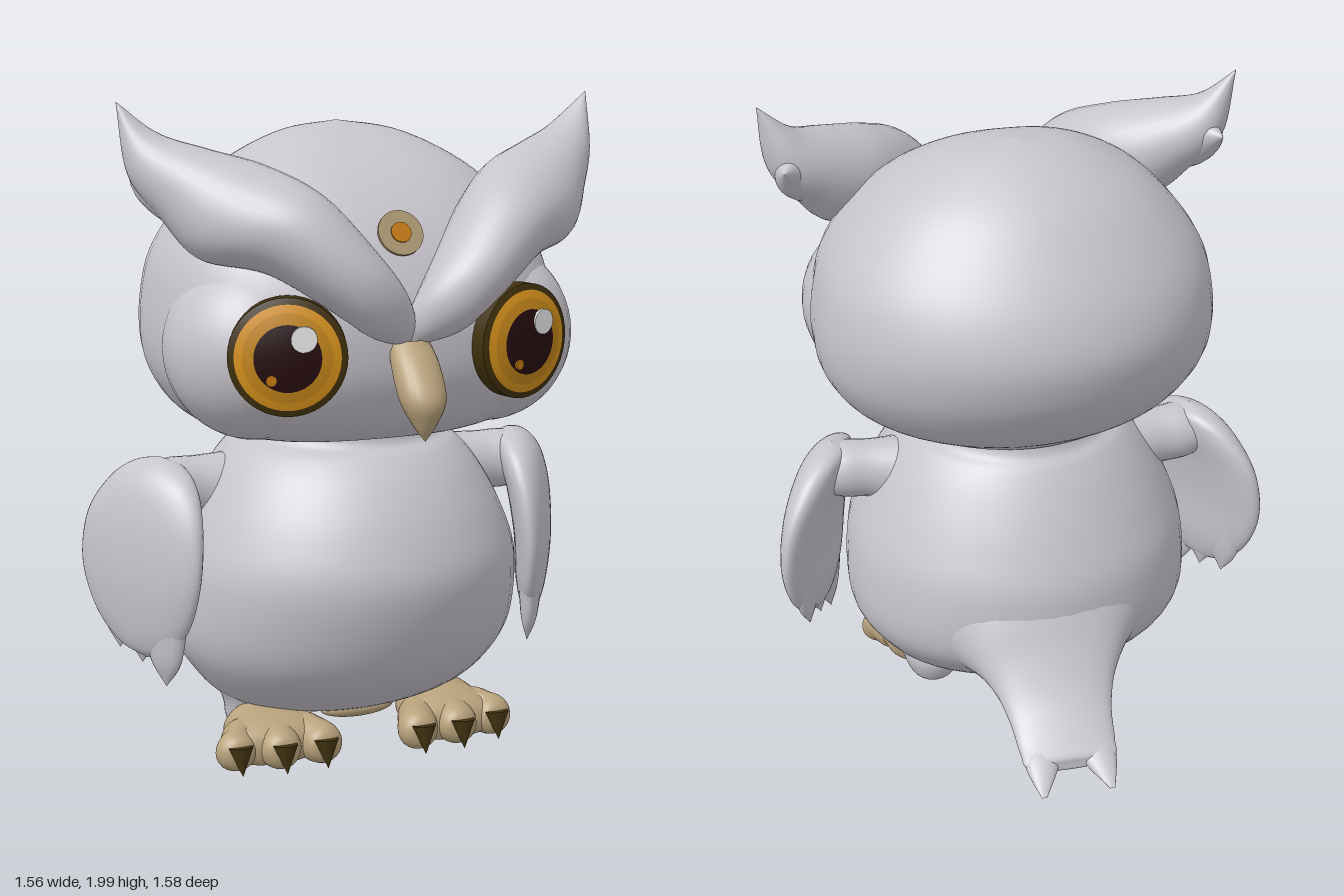
import * as THREE from 'three';

const paint = (name, color) => {
  const m = new THREE.MeshStandardMaterial({ color });
  m.name = name;
  return m;
};
const V = (x, y, z) => new THREE.Vector3(x, y, z);

// Smooth closed skin over elliptical sections [x, y, z, a, b]; a lies along u, b along v,
// and the sections advance along u x v. squareness > 2 flattens the +u side.
function loft(sections, u, v, squareness = 2, rows = sections.length * 5, sides = 48) {
  const path = new THREE.CatmullRomCurve3(sections.map(s => V(s[0], s[1], s[2])), false, 'catmullrom', 0.5);
  const size = new THREE.CatmullRomCurve3(sections.map(s => V(s[3], s[4], 0)), false, 'catmullrom', 0.5);
  const pos = [], index = [];
  for (let i = 0; i <= rows; i++) {
    const c = path.getPoint(i / rows), r = size.getPoint(i / rows);
    for (let j = 0; j < sides; j++) {
      const t = (j / sides) * Math.PI * 2;
      let cu = Math.cos(t), sv = Math.sin(t);
      if (cu > 0 && squareness !== 2) {
        cu = Math.pow(cu, 2 / squareness);
        sv = Math.sign(sv) * Math.pow(Math.abs(sv), 2 / squareness);
      }
      const p = c.clone().addScaledVector(u, cu * Math.max(r.x, 0)).addScaledVector(v, sv * Math.max(r.y, 0));
      pos.push(p.x, p.y, p.z);
      if (i < rows) {
        const k = (j + 1) % sides, a = i * sides, b = a + sides;
        index.push(a + j, a + k, b + k, a + j, b + k, b + j);
      }
    }
  }
  const g = new THREE.BufferGeometry();
  g.setAttribute('position', new THREE.Float32BufferAttribute(pos, 3));
  g.setIndex(index);
  g.computeVertexNormals();
  return g;
}

// Mirror a geometry across x = 0, keeping its faces outward
function mirrored(geo) {
  const g = geo.clone().applyMatrix4(new THREE.Matrix4().makeScale(-1, 1, 1));
  const idx = g.index.array;
  for (let i = 0; i < idx.length; i += 3) [idx[i + 1], idx[i + 2]] = [idx[i + 2], idx[i + 1]];
  g.computeVertexNormals();
  return g;
}

// Ring of a shallow dome facing +z, between two radii
const DOME = 0.03, EYE_RADIUS = 0.166;
const domeHeight = r => DOME * (1 - (r / EYE_RADIUS) ** 2);
function domeRing(outer, inner) {
  const points = [];
  for (let i = 0; i <= 6; i++) {
    const r = outer + (inner - outer) * i / 6;
    points.push(new THREE.Vector2(r, domeHeight(r)));
  }
  return new THREE.LatheGeometry(points, 48).rotateX(Math.PI / 2);
}

export function createModel() {
  const owl = new THREE.Group();
  owl.name = 'owl';
  const grey = paint('grey plumage', 0xc8c4cc);
  const tan = paint('tan horn', 0xb8a27c);
  const claw = paint('dark claw', 0x453612);
  const rim = paint('eye rim', 0x40300c);
  const amber = paint('amber', 0xc4861a);
  const gold = paint('gold iris', 0xd8931c);
  const dark = paint('pupil', 0x260c10);
  const white = paint('highlight', 0xe8e8ea);
  const olive = paint('forehead spot', 0xa89670);
  const orange = paint('orange', 0xc0760e);

  const add = (name, geo, mat, parent = owl) => {
    const m = new THREE.Mesh(geo, mat);
    m.name = name;
    parent.add(m);
  };
  const pair = (name, geo, mat) => {
    add(name + 'Left', geo, mat);
    add(name + 'Right', mirrored(geo), mat);
  };
  const disc = (name, r, depth, mat, parent, x, y, z) => {
    const g = new THREE.CylinderGeometry(r, r, depth, 40).rotateX(Math.PI / 2);
    add(name, g.translate(x, y, z - depth / 2), mat, parent);
  };
  const ball = (x, y, z, rx, ry, rz) =>
    new THREE.SphereGeometry(1, 36, 24).scale(rx, ry, rz).translate(x, y, z);
  const X = V(1, 0, 0), Y = V(0, 1, 0), Z = V(0, 0, 1);
  // sections given as height, front z, back z, half width
  const upright = rows => rows.map(([y, f, b, w]) => [0, y, (f + b) / 2, (f - b) / 2, w]);

  // Body
  add('body', loft(upright([
    [0.095, 0.06, 0.06, 0], [0.11, 0.2, -0.06, 0.2], [0.17, 0.34, -0.18, 0.38],
    [0.27, 0.48, -0.32, 0.48], [0.4, 0.57, -0.42, 0.545], [0.6, 0.625, -0.43, 0.54],
    [0.75, 0.59, -0.375, 0.49], [0.88, 0.52, -0.305, 0.42], [0.96, 0.45, -0.25, 0.355],
    [0.995, 0.4, -0.215, 0.3], [1.05, 0.39, -0.2, 0.28]]), Z, X), grey);
  add('underbellyPatch', ball(0, 0.13, 0.235, 0.12, 0.03, 0.04), tan);

  // Head
  add('head', loft(upright([
    [1.02, 0.1, 0.1, 0], [1.02, 0.38, -0.18, 0.3], [1.04, 0.48, -0.23, 0.43], [1.1, 0.56, -0.31, 0.53],
    [1.2, 0.615, -0.39, 0.595], [1.3, 0.635, -0.44, 0.615], [1.42, 0.63, -0.46, 0.607],
    [1.55, 0.585, -0.42, 0.575], [1.68, 0.505, -0.335, 0.49], [1.8, 0.38, -0.225, 0.36],
    [1.89, 0.21, -0.08, 0.18], [1.92, 0.05, 0.05, 0]]), Z, X, 2.7), grey);
  pair('cheek', ball(0.36, 1.305, 0.33, 0.262, 0.27, 0.28), grey);

  // Brows sweeping out into ear tufts
  const along = V(0.69, 0.58, -0.43).normalize();
  const across = V(-0.64, 0.77, 0).normalize();
  const outward = along.clone().cross(across);
  pair('brow', loft([
    [0, 1.34, 0.63, 0, 0], [0.015, 1.37, 0.64, 0.04, 0.05], [0.08, 1.43, 0.66, 0.08, 0.09],
    [0.17, 1.52, 0.635, 0.102, 0.13], [0.31, 1.645, 0.55, 0.132, 0.155], [0.45, 1.7, 0.43, 0.16, 0.16],
    [0.56, 1.775, 0.34, 0.118, 0.13], [0.66, 1.855, 0.27, 0.072, 0.08], [0.73, 2, 0.25, 0, 0]],
    across, outward, 2, 54, 32), grey);
  pair('tuftSpike', loft([
    [0.55, 1.74, 0.35, 0.1, 0.1], [0.62, 1.78, 0.25, 0.075, 0.07], [0.67, 1.82, 0.16, 0, 0]],
    Y, X, 2, 12, 20), grey);

  // Domed eyes, turned slightly outward
  for (const s of [1, -1]) {
    const eye = new THREE.Group();
    eye.name = s > 0 ? 'eyeLeft' : 'eyeRight';
    eye.position.set(s * 0.36, 1.32, 0.618);
    eye.rotation.y = s * 0.33;
    owl.add(eye);
    disc('eyeSocket', EYE_RADIUS, 0.045, rim, eye, 0, 0, 0);
    add('eyeRim', domeRing(EYE_RADIUS, 0.148), rim, eye);
    add('outerIris', domeRing(0.148, 0.125), gold, eye);
    add('innerIris', domeRing(0.125, 0.094), amber, eye);
    add('pupil', domeRing(0.094, 0), dark, eye);
    disc('highlight', 0.036, 0.009, white, eye, 0.045, 0.055, 0.031);
    disc('glint', 0.015, 0.009, orange, eye, -0.045, -0.06, 0.029);
  }

  // Beak
  add('beak', loft([
    [0, 1.08, 0.738, 0, 0], [0, 1.13, 0.73, 0.04, 0.035], [0, 1.2, 0.715, 0.072, 0.066],
    [0, 1.29, 0.66, 0.066, 0.068], [0, 1.35, 0.61, 0.05, 0.055]], Z, X, 2, 24, 24), tan);

  // Forehead spot
  const spot = new THREE.Group();
  spot.name = 'foreheadSpot';
  spot.position.set(0, 1.64, 0.555);
  spot.rotation.x = -0.5;
  owl.add(spot);
  disc('spotPlate', 0.067, 0.009, olive, spot, 0, 0, 0);
  disc('spotCentre', 0.03, 0.009, orange, spot, 0, 0, 0.004);

  // Wings: leaf shapes whose rear edge swings outward, with feather tips below
  const wide = V(-0.46, 0, 0.89).normalize();
  const thick = Y.clone().cross(wide);
  pair('wing', loft([
    [0.64, 0.335, 0.13, 0, 0], [0.645, 0.37, 0.125, 0.11, 0.03], [0.65, 0.46, 0.12, 0.2, 0.05],
    [0.652, 0.6, 0.12, 0.25, 0.06], [0.635, 0.75, 0.115, 0.24, 0.068], [0.605, 0.86, 0.11, 0.18, 0.07],
    [0.585, 0.92, 0.1, 0.1, 0.05], [0.58, 0.945, 0.1, 0, 0]], wide, thick), grey);
  for (const [z, y, x] of [[0.2, 0.26, 0.6], [0.1, 0.31, 0.645], [0.01, 0.335, 0.69]])
    pair('featherTip', loft([
      [x, y, z, 0, 0], [x + 0.003, y + 0.08, z + 0.005, 0.06, 0.025], [x + 0.005, y + 0.2, z + 0.005, 0.09, 0.038]],
      wide, thick, 2, 10, 16), grey);
  pair('shoulder', loft([
    [0.3, 0.82, 0.08, 0.12, 0.12], [0.46, 0.84, 0.09, 0.095, 0.085], [0.56, 0.845, 0.1, 0.09, 0.09],
    [0.64, 0.84, 0.1, 0.05, 0.07]],
    Y, Z, 2, 15, 24), grey);

  // Tail with forked tip
  add('tail', loft([
    [0, 0.5, -0.18, 0.3, 0.42], [0, 0.485, -0.3, 0.25, 0.34], [0, 0.43, -0.4, 0.18, 0.25],
    [0, 0.35, -0.48, 0.108, 0.19], [0, 0.28, -0.56, 0.064, 0.16], [0, 0.225, -0.65, 0.042, 0.148],
    [0, 0.205, -0.7, 0.025, 0.13], [0, 0.205, -0.705, 0, 0]], Y, X), grey);
  pair('tailFork', loft([
    [0.08, 0.23, -0.62, 0.03, 0.06], [0.09, 0.2, -0.7, 0.028, 0.05], [0.105, 0.16, -0.79, 0, 0.008]],
    Y, X, 2, 12, 16), grey);

  // Legs and feet
  pair('leg', loft([
    [0.28, 0.015, 0.09, 0, 0], [0.28, 0.025, 0.09, 0.06, 0.06], [0.28, 0.09, 0.09, 0.09, 0.095],
    [0.285, 0.16, 0.1, 0.095, 0.105], [0.29, 0.24, 0.1, 0.13, 0.14], [0.28, 0.34, 0.1, 0.16, 0.17]],
    Z, X, 2, 30, 28), grey);
  pair('foot', loft([
    [0.285, 0.09, 0.155, 0, 0], [0.285, 0.09, 0.158, 0.115, 0.078], [0.287, 0.088, 0.22, 0.14, 0.078],
    [0.29, 0.082, 0.29, 0.165, 0.072], [0.29, 0.072, 0.34, 0.14, 0.05], [0.29, 0.07, 0.36, 0, 0]],
    X, Y, 2, 30, 32), tan);
  for (const [k, back] of [[-1, 0], [0, 0], [1, 0.03]]) {
    const x = 0.29 + k * 0.13;
    pair('toe', loft([
      [0.29 + k * 0.08, 0.085, 0.21, 0, 0], [0.29 + k * 0.09, 0.085, 0.23, 0.055, 0.055],
      [0.29 + k * 0.11, 0.08, 0.29, 0.065, 0.064], [x, 0.073, 0.345 - back, 0.065, 0.064],
      [x, 0.073, 0.385 - back, 0.045, 0.045], [x, 0.073, 0.4 - back, 0, 0]],
      X, Y, 2, 24, 24), tan);
    const tip = new THREE.ConeGeometry(0.038, 0.09, 12).rotateX(Math.PI - 0.2);
    pair('claw', tip.translate(x, 0.056, 0.398 - back), claw);
  }
  return owl;
}
